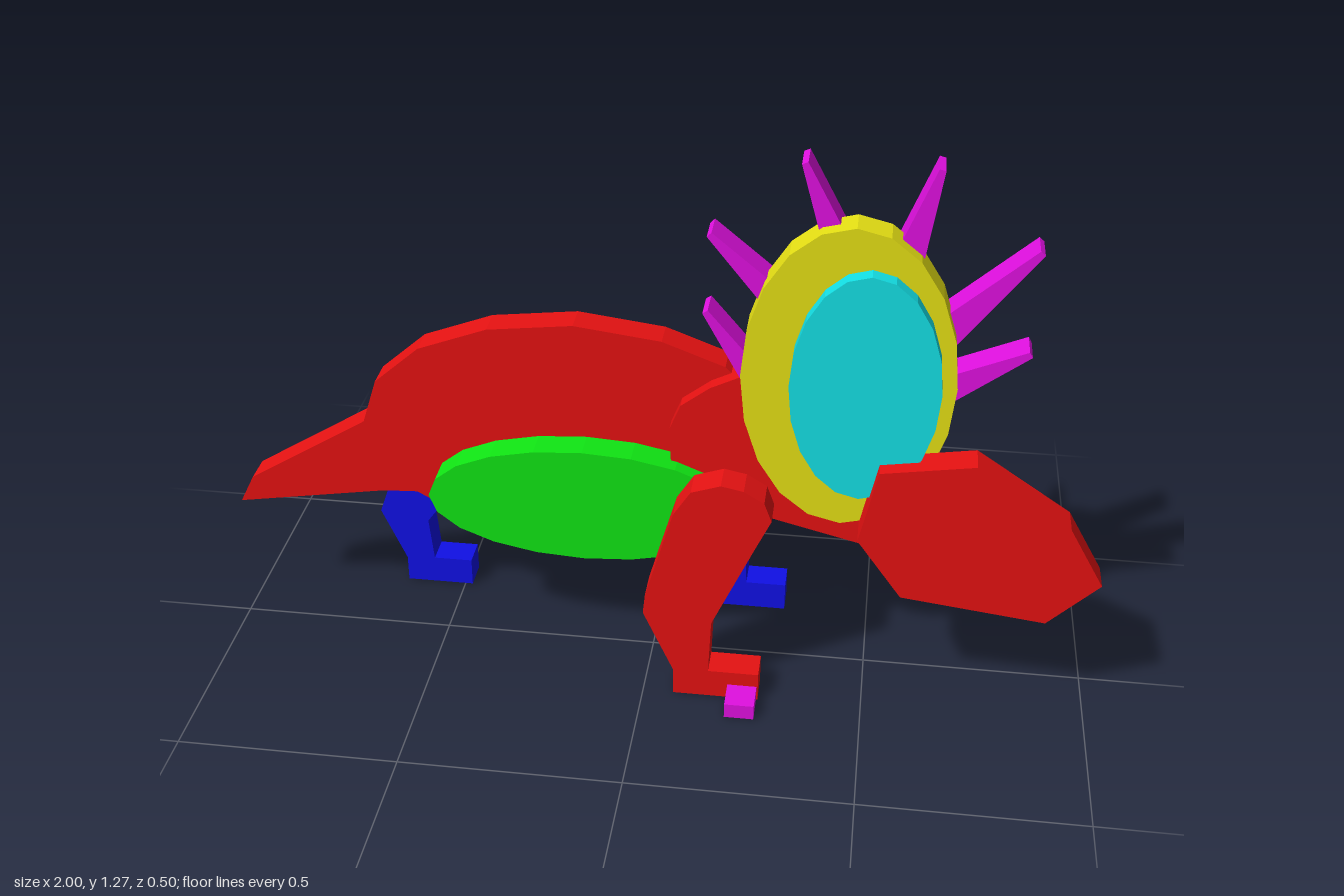
import * as THREE from 'three';

const THICK = 0.072;

function paint(name, color) {
  const m = new THREE.MeshStandardMaterial({ color });
  m.name = name;
  return m;
}

// Flat plate cut from an outline in x/y, with its back face at z
function plate(name, points, z, material) {
  const shape = new THREE.Shape(points.map(([x, y]) => new THREE.Vector2(x, y)));
  const geo = new THREE.ExtrudeGeometry(shape, { depth: THICK, bevelEnabled: false });
  const mesh = new THREE.Mesh(geo, material);
  mesh.name = name;
  mesh.position.z = z;
  return mesh;
}

function ellipse(cx, cy, rx, ry, sides = 20) {
  return Array.from({ length: sides }, (_, i) => {
    const a = (i / sides) * Math.PI * 2;
    return [cx + rx * Math.sin(a), cy + ry * Math.cos(a)];
  });
}

// Tapered spike with a rounded root and a narrow blunt tip
function spike([bx, by], [tx, ty]) {
  const angle = Math.atan2(ty - by, tx - bx);
  const side = angle + Math.PI / 2;
  const points = [];
  for (let i = 0; i <= 6; i++) {
    const a = side + (i / 6) * Math.PI;
    points.push([bx + 0.034 * Math.cos(a), by + 0.034 * Math.sin(a)]);
  }
  for (const s of [-1, 1]) {
    points.push([tx + s * 0.007 * Math.cos(side), ty + s * 0.007 * Math.sin(side)]);
  }
  return points;
}

export function createModel() {
  const red = paint('red', 0xe61212);
  const blue = paint('blue', 0x1010e6);
  const green = paint('green', 0x10e614);
  const yellow = paint('yellow', 0xe6e014);
  const cyan = paint('cyan', 0x14e0e6);
  const magenta = paint('magenta', 0xe010e0);

  const group = new THREE.Group();
  group.name = 'hornedDinosaur';

  // Body with tail
  group.add(plate('body', [
    [-1, 0.295], [-0.965, 0.364], [-0.68, 0.54], [-0.645, 0.648], [-0.54, 0.74],
    [-0.38, 0.8], [-0.185, 0.823], [0.013, 0.798], [0.155, 0.745], [0.26, 0.64],
    [0.315, 0.52], [0.285, 0.42], [0.18, 0.335], [0.01, 0.272], [-0.18, 0.254],
    [-0.377, 0.278], [-0.51, 0.327], [-0.565, 0.358], [-0.645, 0.354],
  ], -0.108, red));

  // Belly and neck
  group.add(plate('belly', ellipse(-0.158, 0.398, 0.36, 0.143), -0.036, green));
  group.add(plate('neck', [
    [0.04, 0.5], [0.036, 0.6], [0.06, 0.66], [0.125, 0.71], [0.19, 0.742], [0.3, 0.75],
    [0.54, 0.6], [0.615, 0.52], [0.638, 0.43], [0.6, 0.358], [0.495, 0.325],
    [0.255, 0.385], [0.1, 0.43],
  ], -0.072, red));

  // Frill and its inner disc
  group.add(plate('frill', ellipse(0.426, 0.787, 0.23, 0.357), 0, yellow));
  group.add(plate('frillInset', ellipse(0.463, 0.787, 0.161, 0.267), 0.036, cyan));

  // Head
  group.add(plate('head', [
    [0.505, 0.61], [0.71, 0.643], [0.92, 0.503], [1, 0.364],
    [0.89, 0.254], [0.57, 0.293], [0.468, 0.434],
  ], 0.072, red));

  // Frill spikes: root and tip of each
  const spikes = [
    [[0.265, 0.7], [0.115, 0.915]], [[0.305, 0.91], [0.121, 1.095]],
    [[0.405, 1.04], [0.313, 1.265]], [[0.528, 1.04], [0.588, 1.265]],
    [[0.625, 0.9], [0.803, 1.095]], [[0.618, 0.754], [0.803, 0.861]],
  ];
  spikes.forEach(([root, tip], i) =>
    group.add(plate('frillSpike' + (i + 1), spike(root, tip), -0.036, magenta)));

  // Near front leg and its claw
  group.add(plate('nearFrontLeg', [
    [0.07, 0], [0.265, 0], [0.265, 0.07], [0.15, 0.07], [0.155, 0.205], [0.25, 0.42],
    [0.282, 0.49], [0.265, 0.535], [0.22, 0.562], [0.17, 0.572], [0.105, 0.55],
    [0.067, 0.49], [0.005, 0.27], [0, 0.22], [0.07, 0.065],
  ], 0.107, red));
  group.add(plate('claw', [[0.195, 0], [0.262, 0], [0.262, 0.036], [0.195, 0.036]], 0.179, magenta));

  // Far legs
  group.add(plate('farFrontLeg', [
    [0.11, 0], [0.3, 0], [0.3, 0.07], [0.205, 0.07], [0.195, 0.29], [0.205, 0.45],
    [0.19, 0.505], [0.155, 0.542], [0.1, 0.555], [0.045, 0.535], [0.015, 0.49],
    [0.015, 0.42], [0.135, 0.22], [0.135, 0.07],
  ], -0.25, blue));
  group.add(plate('farRearLeg', [
    [-0.645, 0], [-0.482, 0], [-0.482, 0.07], [-0.575, 0.07], [-0.585, 0.18],
    [-0.485, 0.315], [-0.45, 0.38], [-0.46, 0.43], [-0.5, 0.47], [-0.56, 0.485],
    [-0.615, 0.46], [-0.645, 0.41], [-0.65, 0.35], [-0.703, 0.2], [-0.645, 0.065],
  ], -0.25, blue));

  return group;
}
